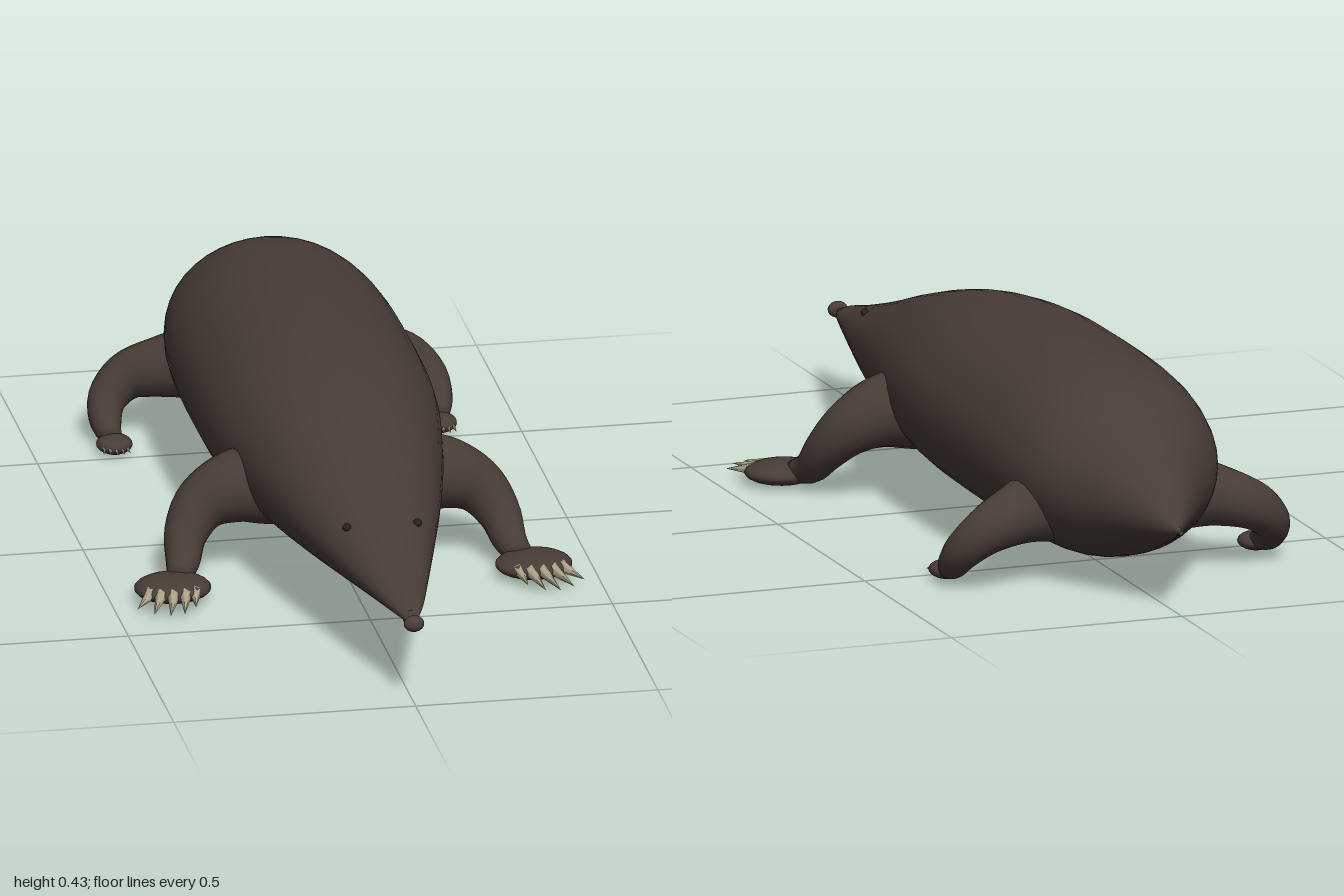
import * as THREE from 'three';

const fur = new THREE.MeshStandardMaterial({ color: 0x483c36 });
fur.name = 'brown fur';
const skin = new THREE.MeshStandardMaterial({ color: 0x4c3d38 });
skin.name = 'nose skin';
const horn = new THREE.MeshStandardMaterial({ color: 0xb0a68a });
horn.name = 'claw horn';
const dark = new THREE.MeshStandardMaterial({ color: 0x2a211e });
dark.name = 'dark eye';

// Smooth skin over equal-sized closed rings of points, capped at both ends
function loft(rings) {
  const n = rings[0].length, index = [];
  const points = rings.flat();
  for (let i = 0; i < rings.length - 1; i++) {
    for (let j = 0; j < n; j++) {
      const a = i * n + j, b = i * n + (j + 1) % n;
      index.push(a, b, a + n, b, b + n, a + n);
    }
  }
  const last = (rings.length - 1) * n;
  for (let j = 1; j < n - 1; j++) {
    index.push(0, j + 1, j, last, last + j, last + j + 1);
  }
  const g = new THREE.BufferGeometry().setFromPoints(points);
  g.setIndex(index);
  g.computeVertexNormals();
  return g;
}

function add(parent, name, geometry, material) {
  const m = new THREE.Mesh(geometry, material);
  m.name = name;
  parent.add(m);
  return m;
}

function ellipsoid(parent, name, material, center, radii) {
  const m = add(parent, name, new THREE.SphereGeometry(1, 20, 14), material);
  m.position.set(...center);
  m.scale.set(...radii);
  return m;
}

// Body stations: z, top, bottom, half width
const stations = [
  [-0.975, 0.187, 0.168, 0.008], [-0.9, 0.25, 0.137, 0.06], [-0.8, 0.322, 0.098, 0.125],
  [-0.7, 0.386, 0.06, 0.19], [-0.6, 0.42, 0.038, 0.221], [-0.45, 0.435, 0.038, 0.238],
  [-0.2, 0.437, 0.042, 0.243], [0, 0.43, 0.048, 0.236], [0.2, 0.403, 0.064, 0.207],
  [0.4, 0.35, 0.092, 0.166], [0.6, 0.286, 0.122, 0.115], [0.8, 0.228, 0.152, 0.062],
  [0.9, 0.203, 0.164, 0.034], [0.965, 0.18, 0.168, 0.008],
];

function bodyGeometry() {
  const spline = pts => new THREE.CatmullRomCurve3(pts, false, 'catmullrom', 0.5);
  const heights = spline(stations.map(s => new THREE.Vector3(s[0], s[1], s[2])));
  const widths = spline(stations.map(s => new THREE.Vector3(s[3], 0, 0)));
  const rings = [], steps = 65, sides = 40;
  for (let i = 0; i <= steps; i++) {
    const h = heights.getPoint(i / steps), w = widths.getPoint(i / steps).x;
    const cy = (h.y + h.z) / 2, ry = (h.y - h.z) / 2;
    rings.push(Array.from({ length: sides }, (_, j) => {
      const a = j / sides * Math.PI * 2;
      return new THREE.Vector3(w * Math.cos(a), cy + ry * Math.sin(a), h.x);
    }));
  }
  return loft(rings);
}

// Tapered limb along a curve; each path entry is x, y, z, radius
function limbGeometry(path, side) {
  const curve = new THREE.CatmullRomCurve3(path.map(p => new THREE.Vector3(p[0] * side, p[1], p[2])));
  const radii = new THREE.SplineCurve(path.map((p, i) => new THREE.Vector2(i, p[3])));
  const steps = 24, sides = 18, frames = curve.computeFrenetFrames(steps, false);
  const rings = [];
  for (let i = 0; i <= steps; i++) {
    const u = i / steps, c = curve.getPointAt(u), r = radii.getPoint(curve.getUtoTmapping(u)).y;
    rings.push(Array.from({ length: sides }, (_, j) => {
      const a = j / sides * Math.PI * 2;
      return c.clone().addScaledVector(frames.normals[i], r * Math.cos(a))
        .addScaledVector(frames.binormals[i], r * Math.sin(a));
    }));
  }
  return loft(rings);
}

// Pointed claw from a base point to its tip
function claw(parent, base, tip, radius) {
  const from = new THREE.Vector3(...base), dir = new THREE.Vector3(...tip).sub(from);
  const length = dir.length();
  const g = new THREE.ConeGeometry(radius, length, 6).translate(0, length / 2, 0);
  const m = add(parent, 'claw', g, horn);
  m.position.copy(from);
  m.quaternion.setFromUnitVectors(new THREE.Vector3(0, 1, 0), dir.normalize());
}

const limbs = [
  {
    name: 'front', 
    path: [[0.13, 0.185, 0.15, 0.09], [0.22, 0.178, 0.152, 0.075], [0.285, 0.148, 0.16, 0.058],
      [0.323, 0.1, 0.19, 0.045], [0.338, 0.055, 0.235, 0.035], [0.355, 0.035, 0.28, 0.025]],
    paw: [0.373, 0.03, 0.31], size: [0.079, 0.025, 0.07],
    tips: [[0.343, 0.41], [0.373, 0.447], [0.403, 0.452], [0.434, 0.436], [0.462, 0.4]],
    tipY: 0.022, clawRadius: 0.014,
  },
  {
    name: 'hind',
    path: [[0.12, 0.165, -0.6, 0.085], [0.215, 0.15, -0.625, 0.064], [0.29, 0.125, -0.645, 0.05],
      [0.333, 0.085, -0.628, 0.04], [0.342, 0.048, -0.59, 0.032], [0.337, 0.028, -0.55, 0.022]],
    paw: [0.335, 0.023, -0.535], size: [0.037, 0.019, 0.04],
    tips: [[0.309, -0.493], [0.322, -0.487], [0.336, -0.485], [0.35, -0.487], [0.364, -0.493]],
    tipY: 0.016, clawRadius: 0.006,
  },
];

export function createModel() {
  const model = new THREE.Group();
  model.name = 'mole';
  add(model, 'body', bodyGeometry(), fur);

  // Nose bulb and stubby tail tip
  ellipsoid(model, 'nose', skin, [0, 0.176, 0.981], [0.021, 0.017, 0.016]);
  add(model, 'snoutTip', limbGeometry([[0, 0.174, 0.94, 0.016], [0, 0.174, 0.96, 0.009],
    [0, 0.175, 0.98, 0.008]], 1), fur);
  add(model, 'tail', limbGeometry([[0, 0.178, -0.95, 0.018], [0, 0.178, -0.975, 0.009],
    [0, 0.177, -0.998, 0.005]], 1), fur);

  for (const side of [1, -1]) {
    const prefix = side > 0 ? 'left' : 'right';
    ellipsoid(model, prefix + 'Eye', dark, [side * 0.073, 0.259, 0.63], [0.009, 0.008, 0.01]);

    // Bent leg, flat paw and five fanned claws
    for (const limb of limbs) {
      const leg = new THREE.Group();
      leg.name = `${prefix} ${limb.name} leg`;
      model.add(leg);
      add(leg, 'limb', limbGeometry(limb.path, side), fur);
      const [px, py, pz] = limb.paw, [sx, , sz] = limb.size;
      ellipsoid(leg, 'paw', fur, [side * px, py, pz], limb.size);
      limb.tips.forEach(([x, z], i) => {
        const a = (i - 1.7) * 0.42;
        const base = [side * (px + Math.sin(a) * sx * 0.75), py + 0.003, pz + Math.cos(a) * sz * 0.75];
        claw(leg, base, [side * x, limb.tipY, z], limb.clawRadius);
      });
    }
  }
  return model;
}
